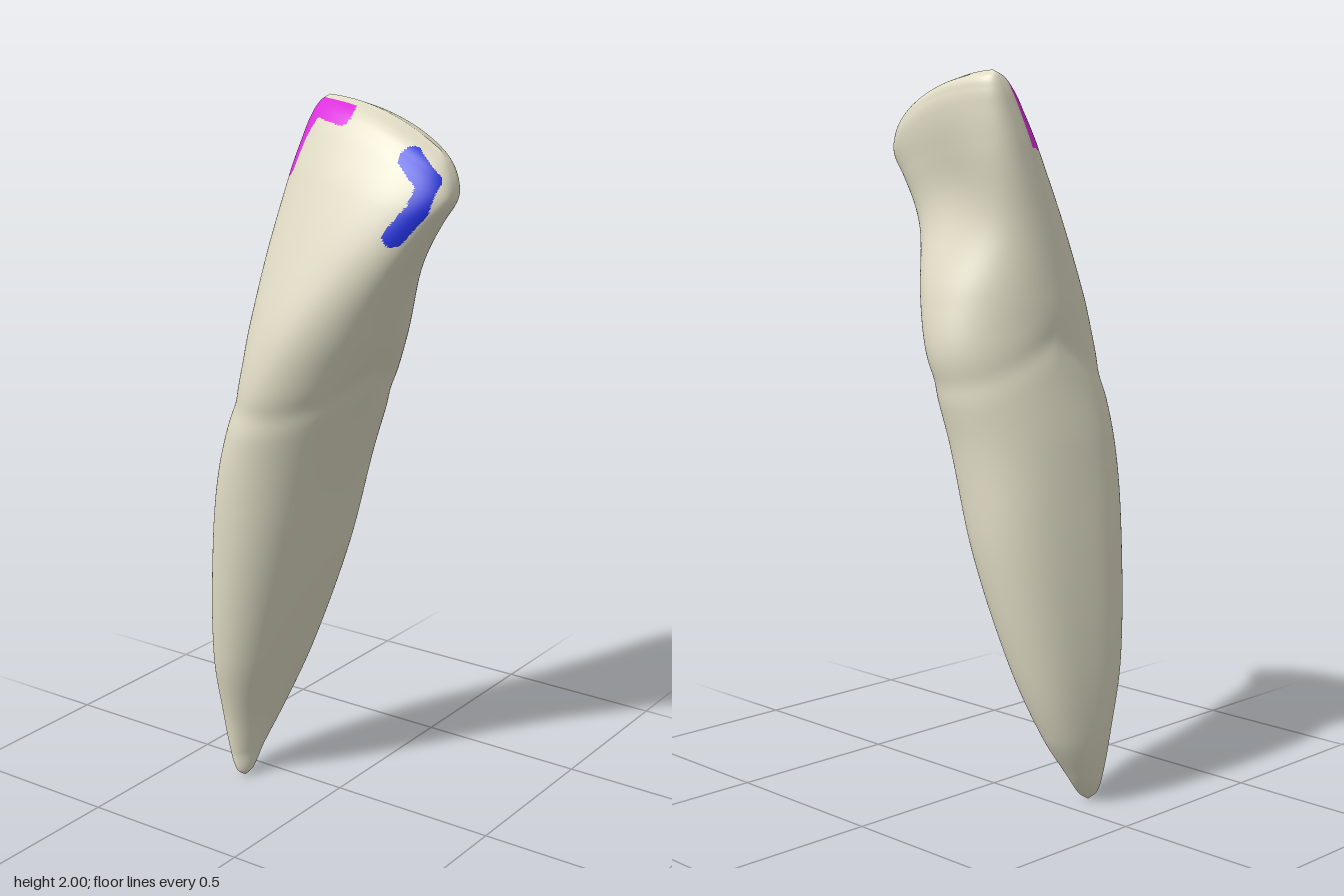
import * as THREE from 'three';

// Outline from root tip to biting edge: [height, xLeft, xRight, zFront, zBack]
const OUTLINE = [
  [0.00, -0.280, -0.280, 0.092, 0.092],
  [0.02, -0.300, -0.265, 0.115, 0.062],
  [0.08, -0.322, -0.255, 0.125, 0.015],
  [0.20, -0.344, -0.218, 0.143, -0.060],
  [0.40, -0.351, -0.146, 0.190, -0.130],
  [0.70, -0.332, -0.053, 0.227, -0.190],
  [1.00, -0.296, 0.028, 0.246, -0.212],
  [1.25, -0.242, 0.108, 0.247, -0.246],
  [1.40, -0.230, 0.172, 0.226, -0.222],
  [1.60, -0.210, 0.247, 0.165, -0.163],
  [1.80, -0.183, 0.315, 0.092, -0.160],
  [1.90, -0.164, 0.347, 0.044, -0.157],
  [1.95, -0.152, 0.342, 0.012, -0.150],
  [1.985, -0.136, 0.318, -0.026, -0.130],
  [2.00, -0.118, 0.290, -0.080, -0.080],
];
const ROWS = 300, COLS = 160;

const smooth = THREE.MathUtils.smoothstep;
const bump = (y, centre, width) => Math.exp(-(((y - centre) / width) ** 2));
const signedPow = (a, e) => Math.sign(a) * Math.abs(a) ** e;
const rowHeight = (i) => 1 - Math.cos(i / ROWS * Math.PI);

// Smooth interpolation of the outline at height y
function outlineAt(y) {
  const last = OUTLINE.length - 1;
  let i = 0;
  while (i < last - 1 && OUTLINE[i + 1][0] < y) i++;
  const a = OUTLINE[i], b = OUTLINE[i + 1], h = b[0] - a[0], t = (y - a[0]) / h;
  const p = OUTLINE[Math.max(i - 1, 0)], n = OUTLINE[Math.min(i + 2, last)];
  return a.map((va, c) => {
    const vb = b[c];
    const ma = (vb - p[c]) / (b[0] - p[0]) * h, mb = (n[c] - va) / (n[0] - a[0]) * h;
    const t2 = t * t, t3 = t2 * t;
    return va * (2 * t3 - 3 * t2 + 1) + ma * (t3 - 2 * t2 + t) + vb * (3 * t2 - 2 * t3) + mb * (t3 - t2);
  });
}

// Gum line: low at front and back, arched over the sides
const gumLine = (v) => 1.19 + 0.12 * (1 - Math.abs(v)) ** 1.3;

function surfacePoint(outline, y, angle) {
  const [, xL, xR, zF, zB] = outline;
  // Grooved root sides, scooped crown back, squarer and twisted blade
  const blade = smooth(y, 1.3, 1.9);
  const sideHollow = 0.09 * smooth(y, 0, 0.35) * (1 - smooth(y, 0.8, 1.25));
  const backHollow = 0.2 * bump(y, 1.71, 0.17);
  const power = 1 - 0.8 * sideHollow - 0.19 * blade;
  const u = signedPow(Math.cos(angle), power);
  const sine = Math.sin(angle), v = signedPow(sine, sine > 0 ? power - 0.13 * blade : power);
  const cx = (xL + xR) / 2, rx = (xR - xL) / 2, cz = (zF + zB) / 2, rz = (zF - zB) / 2;
  const groove = 1 - 0.022 * bump(y, gumLine(v) - 0.02, 0.04);
  const side = 1 + sideHollow * (0.4 - (1 - v * v) ** 2);
  const back = v < 0 ? 1 - backHollow * (1 - u * u) ** 2 : 1;
  // The front leans to the model's right and the back to its left
  const lean = -0.3 * (1 - smooth(y, 0.9, 1.75));
  const x = cx + rx * (u * side + lean * v) / Math.hypot(1, lean) * groove;
  const z = cz + (rz * v * back + 0.04 * blade * u) * groove;
  // The biting edge slopes down towards the model's left
  const drop = 0.14 * Math.max(0, (x + 0.13) / 0.47) ** 2.2 * smooth(y, 1.4, 2);
  return [x, y - drop, z];
}

// Distance from a point to a painted stroke, measured in the front plane
function strokeDistance(path, x, y) {
  let best = Infinity;
  for (let i = 0; i + 1 < path.length; i++) {
    const [ax, ay] = path[i], dx = path[i + 1][0] - ax, dy = path[i + 1][1] - ay;
    const t = THREE.MathUtils.clamp(((x - ax) * dx + (y - ay) * dy) / (dx * dx + dy * dy), 0, 1);
    best = Math.min(best, Math.hypot(x - ax - t * dx, y - ay - t * dy));
  }
  return best;
}
const CORNER_PATH = [[-0.162, 1.815], [-0.14, 1.91], [-0.11, 1.975], [0.0, 1.96]];
const SIDE_PATH = [[0.235, 1.875], [0.302, 1.815], [0.29, 1.75], [0.24, 1.68]];

export function createModel() {
  const paint = (name, color) => {
    const m = new THREE.MeshStandardMaterial({ color });
    m.name = name;
    return m;
  };
  const ivory = paint('ivory', 0xe0dcc5);
  const magenta = paint('magenta', 0xdc32de);
  const blue = paint('blue', 0x2030d8);

  // Loft the whole tooth surface
  const positions = [], all = [];
  for (let i = 0; i <= ROWS; i++) {
    const y = rowHeight(i), outline = outlineAt(y);
    for (let j = 0; j < COLS; j++) positions.push(...surfacePoint(outline, y, j / COLS * Math.PI * 2));
  }

  // Sort the faces into parts
  const parts = { root: [], crown: [], cornerMark: [], sideMark: [] };
  for (let i = 0; i < ROWS; i++) {
    for (let j = 0; j < COLS; j++) {
      const k = (j + 1) % COLS, front = j > 1 && j < COLS * 0.475;
      const a = i * COLS + j, b = a + COLS, c = i * COLS + k, d = c + COLS;
      for (const tri of [[a, b, c], [c, b, d]]) {
        const x = tri.reduce((sum, n) => sum + positions[n * 3], 0) / 3;
        const y = tri.reduce((sum, n) => sum + positions[n * 3 + 1], 0) / 3;
        let part = rowHeight(i) < gumLine(Math.sin(j / COLS * Math.PI * 2)) ? 'root' : 'crown';
        if (front && i < ROWS - 12 && strokeDistance(CORNER_PATH, x, y) < 0.025) part = 'cornerMark';
        if (front && strokeDistance(SIDE_PATH, x, y) < 0.026) part = 'sideMark';
        parts[part].push(...tri);
        all.push(...tri);
      }
    }
  }

  // Shared smooth normals keep the seams between parts invisible
  const whole = new THREE.BufferGeometry();
  whole.setAttribute('position', new THREE.Float32BufferAttribute(positions, 3));
  whole.setIndex(all);
  whole.computeVertexNormals();

  const tooth = new THREE.Group();
  tooth.name = 'tooth';
  const materials = { root: ivory, crown: ivory, cornerMark: magenta, sideMark: blue };
  for (const [name, index] of Object.entries(parts)) {
    const geometry = new THREE.BufferGeometry();
    geometry.setAttribute('position', whole.getAttribute('position'));
    geometry.setAttribute('normal', whole.getAttribute('normal'));
    geometry.setIndex(index);
    const mesh = new THREE.Mesh(geometry, materials[name]);
    mesh.name = name;
    tooth.add(mesh);
  }
  return tooth;
}
